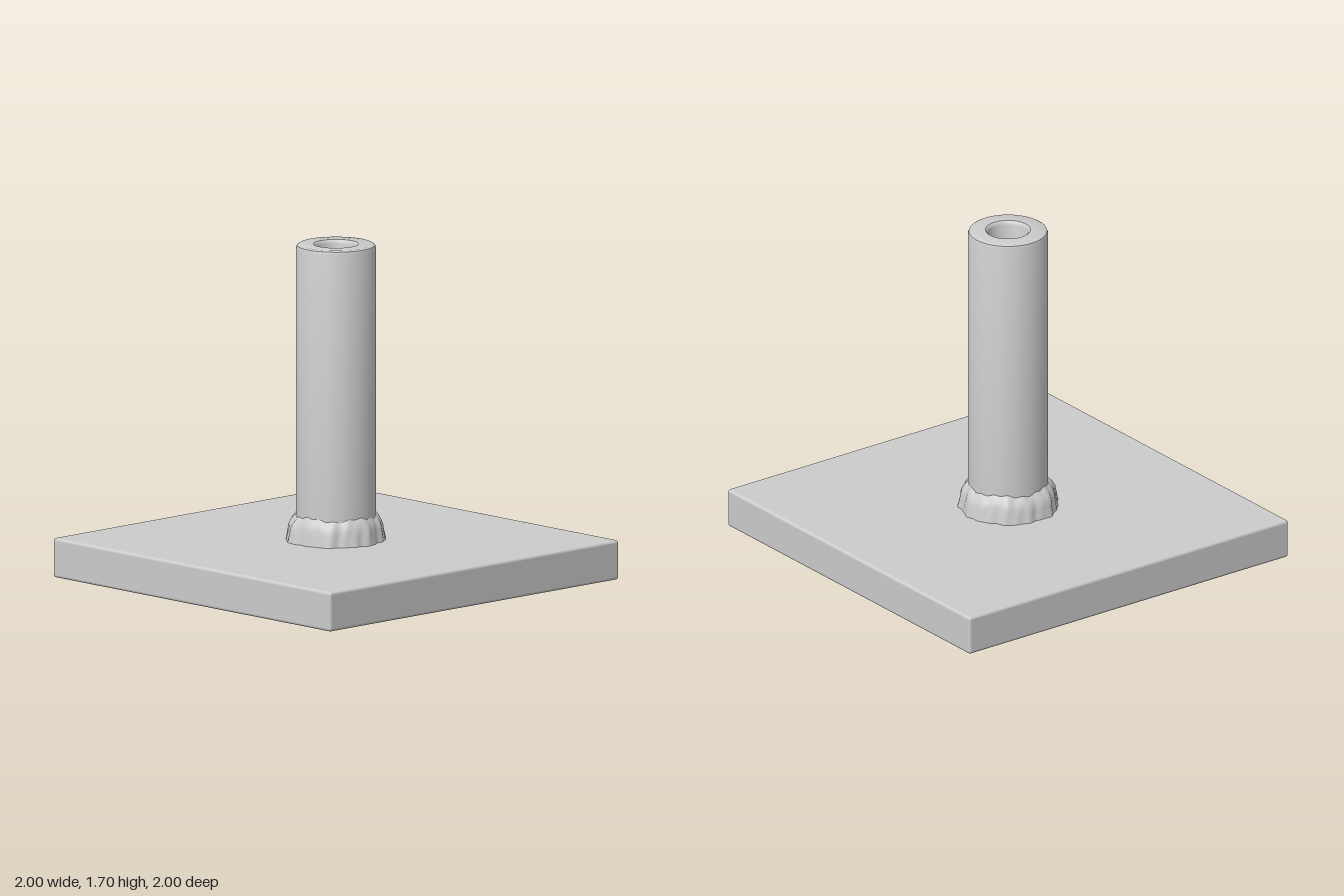
import * as THREE from 'three';
import { mergeVertices, toCreasedNormals } from 'three/addons/utils/BufferGeometryUtils.js';
import { RoundedBoxGeometry } from 'three/addons/geometries/RoundedBoxGeometry.js';

const grey = new THREE.MeshStandardMaterial({ color: 0xcccccc });
const PLATE_TOP = 0.2;

function addPart(group, name, geometry) {
  const mesh = new THREE.Mesh(geometry, grey);
  mesh.name = name;
  group.add(mesh);
  return mesh;
}

const lathe = (profile, segments) =>
  new THREE.LatheGeometry(profile.map(([r, y]) => new THREE.Vector2(r, y)), segments);

// Thick-walled pipe: chamfered rims outside and inside the bore
function pipeGeometry() {
  const profile = [
    [0.1, PLATE_TOP], [0.2, PLATE_TOP], [0.2, 1.68], [0.195, 1.694], [0.185, 1.7],
    [0.113, 1.7], [0.105, 1.694], [0.1, 1.68], [0.1, PLATE_TOP],
  ];
  return toCreasedNormals(lathe(profile, 48), 0.6);
}

// Lumpy weld bead: a fillet ring whose radius and height ripple around the pipe
function weldGeometry() {
  const profile = [[0.248, 0], [0.243, 0.025], [0.238, 0.05], [0.234, 0.075],
    [0.224, 0.098], [0.209, 0.118], [0.196, 0.132]];
  const bead = lathe(profile, 120);
  const p = bead.attributes.position;
  for (let i = 0; i < p.count; i++) {
    const x = p.getX(i), y = p.getY(i), z = p.getZ(i);
    const a = Math.atan2(z, x), r = Math.hypot(x, z);
    const bulge = (r - 0.196) / 0.052;
    const ripple = 0.005 * Math.sin(7 * a + 1) + 0.004 * Math.sin(13 * a + 2.2)
      + 0.003 * Math.sin(23 * a + 20 * y) - 0.005 * Math.cos(a);
    const k = (r + ripple * Math.min(1, bulge * 1.4)) / r;
    const lift = 1 + 0.05 * Math.sin(5 * a + 0.6) + 0.03 * Math.sin(17 * a);
    p.setXYZ(i, x * k, PLATE_TOP + y * lift, z * k);
  }
  // Weld the seam so the shading runs smoothly all the way round
  bead.deleteAttribute('normal');
  bead.deleteAttribute('uv');
  const smooth = mergeVertices(bead, 1e-4);
  smooth.computeVertexNormals();
  return smooth;
}

export function createModel() {
  const group = new THREE.Group();
  group.name = 'pipeOnBasePlate';

  const plate = addPart(group, 'basePlate', new RoundedBoxGeometry(2, 0.2, 2, 3, 0.015));
  plate.position.y = PLATE_TOP / 2;

  addPart(group, 'pipe', pipeGeometry());
  addPart(group, 'weldBead', weldGeometry());
  return group;
}
